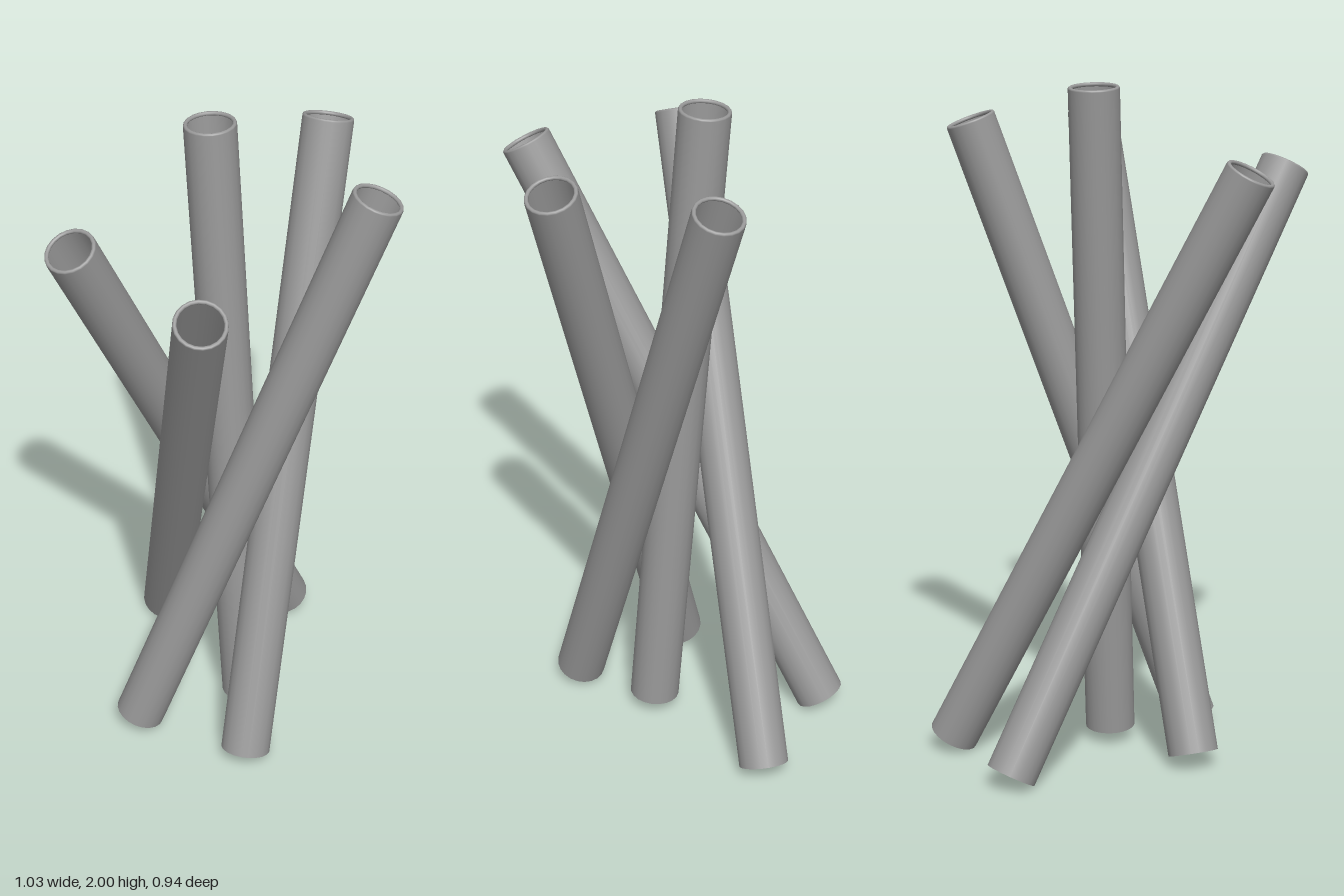
import * as THREE from 'three';

const RADIUS = 0.0742, LIP = 0.006, SIDES = 20;

// Thin hollow tube along +y, open at both ends, with a rounded lip curling inward at the top
function tubeGeometry(length) {
  const profile = [new THREE.Vector2(RADIUS, 0)];
  for (let i = 0; i <= 10; i++) {
    const a = (i / 10) * Math.PI * 1.8;
    profile.push(new THREE.Vector2(
      RADIUS - LIP + Math.cos(a) * LIP,
      length - LIP + Math.sin(a) * LIP
    ));
  }
  return new THREE.LatheGeometry(profile, SIDES);
}

export function createModel() {
  const group = new THREE.Group();
  group.name = 'leaningTubes';
  const material = new THREE.MeshStandardMaterial({ color: 0x999999, side: THREE.DoubleSide });

  // Centres of the bottom and top ends of each tube
  const tubes = [
    ['centreTube', [0.044, 0.042, 0.097], [0.031, 1.994, -0.056]],
    ['backTube', [0.449, 0.037, -0.159], [-0.452, 1.776, -0.079]],
    ['rightTube', [0.148, 0.036, -0.403], [-0.395, 1.745, 0.385]],
    ['frontTube', [-0.277, 0.04, -0.038], [0.23, 1.878, 0.401]],
    ['leftTube', [-0.143, 0.036, 0.298], [0.44, 1.882, -0.012]],
  ];

  const up = new THREE.Vector3(0, 1, 0);
  for (const [name, bottom, top] of tubes) {
    const start = new THREE.Vector3(...bottom);
    const axis = new THREE.Vector3(...top).sub(start);
    const mesh = new THREE.Mesh(tubeGeometry(axis.length()), material);
    mesh.name = name;
    mesh.position.copy(start);
    mesh.quaternion.setFromUnitVectors(up, axis.normalize());
    group.add(mesh);
  }
  return group;
}
